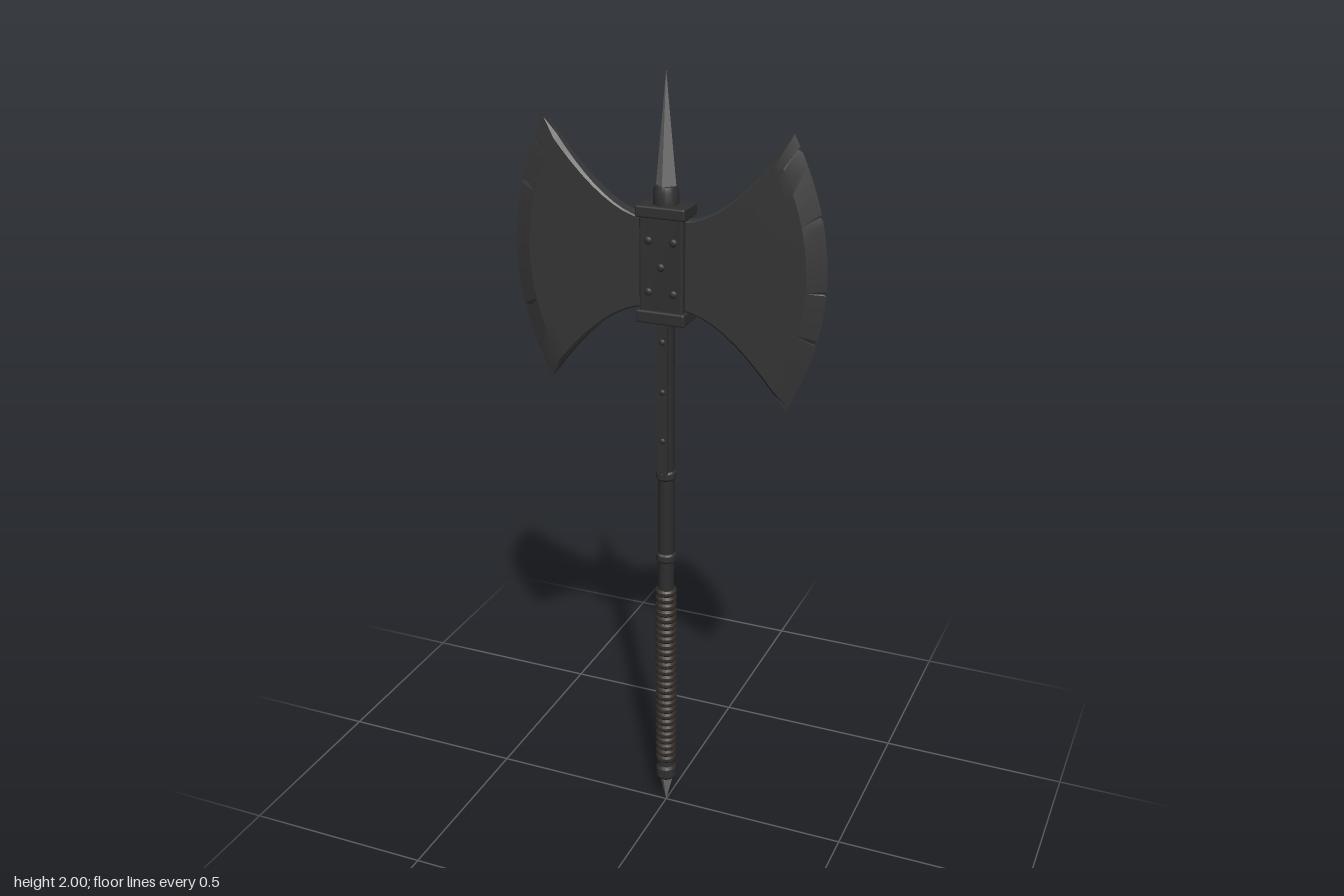
import * as THREE from 'three';
import { toCreasedNormals } from 'three/addons/utils/BufferGeometryUtils.js';
import { RoundedBoxGeometry } from 'three/addons/geometries/RoundedBoxGeometry.js';

const mat = (name, color) => {
  const m = new THREE.MeshStandardMaterial({ color });
  m.name = name;
  return m;
};

// One double-curved blade growing toward +x; nicks are [v, depth] along the edge
function bladeGeometry(nicks) {
  const T = 0.018, midY = 1.547;
  const us = [0, 0.1, 0.2, 0.3, 0.4, 0.5, 0.6, 0.7, 0.8, 0.87, 1];
  const rows = [0.97, -0.97];
  for (let i = -10; i <= 10; i++) rows.push(i / 10);
  for (const [v] of nicks) rows.push(v - 0.02, v, v + 0.02);
  const vs = [...new Set(rows.map((v) => +v.toFixed(3)))].sort((a, b) => a - b);

  const point = (u, v, side) => {
    const nick = u === 1 ? nicks.find((n) => Math.abs(n[0] - v) < 0.002) : null;
    const x = 0.05 + u * (0.35 - 0.09 * v * v) - (nick ? nick[1] : 0);
    const y = midY + v * (0.11 + 0.223 * Math.pow(u, 1.7));
    let z = u === 1 ? 0 : T;
    if (Math.abs(v) === 1) z *= Math.sqrt(1 - u * u) * 0.85;
    return [x, y, z * side];
  };
  const pos = [];
  const quad = (a, b, c, d) => pos.push(...a, ...b, ...c, ...a, ...c, ...d);
  for (let i = 0; i < us.length - 1; i++) {
    const a = us[i], b = us[i + 1];
    for (let j = 0; j < vs.length - 1; j++) {
      const p = vs[j], q = vs[j + 1];
      quad(point(a, p, 1), point(b, p, 1), point(b, q, 1), point(a, q, 1));
      quad(point(a, q, -1), point(b, q, -1), point(b, p, -1), point(a, p, -1));
    }
    // Upper and lower rims
    quad(point(a, 1, 1), point(b, 1, 1), point(b, 1, -1), point(a, 1, -1));
    quad(point(a, -1, -1), point(b, -1, -1), point(b, -1, 1), point(a, -1, 1));
  }
  const g = new THREE.BufferGeometry();
  g.setAttribute('position', new THREE.Float32BufferAttribute(pos, 3));
  return toCreasedNormals(g, 0.35);
}

export function createModel() {
  const axe = new THREE.Group();
  axe.name = 'doubleAxe';
  const blade = mat('bladeIron', 0x363636);
  const iron = mat('darkIron', 0x303030);
  const wood = mat('darkShaft', 0x2d2d2e);
  const leather = mat('gripLeather', 0x332d28);
  const steel = mat('spikeSteel', 0x707070);

  const add = (name, geo, material, x = 0, y = 0, z = 0) => {
    const m = new THREE.Mesh(geo, material);
    m.name = name;
    m.position.set(x, y, z);
    axe.add(m);
    return m;
  };
  // Turned part from [radius, height] pairs
  const turned = (name, profile, material, sides = 20) => add(name,
    toCreasedNormals(new THREE.LatheGeometry(profile.map(([r, y]) => new THREE.Vector2(r, y)), sides), 0.5), material);
  const ring = (name, y0, y1, r, material) => turned(name,
    [[0, y0], [r - 0.004, y0], [r, y0 + 0.005], [r, y1 - 0.005], [r - 0.004, y1], [0, y1]], material);

  // Blades
  add('leftBlade', bladeGeometry([[-0.09, 0.008], [-0.46, 0.012], [0.45, 0.005], [0.9, 0.008]]), blade);
  add('rightBlade', bladeGeometry([[0.5, 0.012], [-0.46, 0.014], [0.82, 0.006]]), blade).rotation.y = Math.PI;

  // Head block with flanged ends
  add('headBlock', new RoundedBoxGeometry(0.112, 0.27, 0.07, 2, 0.006), iron, 0, 1.548, 0);
  add('upperFlange', new RoundedBoxGeometry(0.126, 0.029, 0.084, 2, 0.005), iron, 0, 1.677, 0);
  add('lowerFlange', new RoundedBoxGeometry(0.126, 0.032, 0.084, 2, 0.005), iron, 0, 1.42, 0);

  // Rivets and shaft straps on both faces
  const rivet = new THREE.SphereGeometry(0.01, 10, 8);
  rivet.scale(1, 1, 0.6);
  const smallRivet = new THREE.SphereGeometry(0.008, 10, 8);
  smallRivet.scale(1, 1, 0.7);
  for (const s of [1, -1]) {
    for (const [x, y] of [[-0.032, 1.608], [0.032, 1.608], [0, 1.545], [-0.032, 1.482], [0.032, 1.482]]) {
      add('headRivet', rivet, iron, x, y, s * 0.035);
    }
    add('shaftStrap', new THREE.BoxGeometry(0.026, 0.41, 0.01), iron, 0, 1.205, s * 0.02);
    for (const y of [1.355, 1.225, 1.095]) add('strapRivet', smallRivet, iron, 0, y, s * 0.025);
  }

  // Shaft and bands
  add('shaft', new THREE.CylinderGeometry(0.021, 0.021, 1.32, 16), wood, 0, 0.76, 0);
  ring('upperBand', 0.983, 1.008, 0.026, iron);
  ring('middleBand', 0.75, 0.775, 0.026, iron);

  // Wrapped grip
  const wrap = [[0.02, 0.135]];
  const turns = 27, pitch = 0.535 / turns;
  for (let i = 0; i < turns; i++) {
    const y = 0.135 + i * pitch;
    wrap.push([0.024, y + 0.001], [0.028, y + pitch * 0.3], [0.028, y + pitch * 0.7]);
  }
  wrap.push([0.024, 0.669], [0.02, 0.67]);
  turned('wrappedGrip', wrap, leather, 18);

  // Pommel and its point
  turned('pommel', [[0, 0.078], [0.021, 0.078], [0.027, 0.086], [0.027, 0.112], [0.022, 0.12], [0.022, 0.137], [0, 0.137]], iron);
  const bottom = toCreasedNormals(new THREE.ConeGeometry(0.02, 0.08, 4), 0.3);
  add('pommelSpike', bottom, steel, 0, 0.04, 0).rotation.x = Math.PI;

  // Top collar and four-sided spike
  turned('spikeCollar', [[0, 1.69], [0.031, 1.69], [0.031, 1.722], [0.026, 1.735], [0, 1.735]], iron);
  add('topSpike', toCreasedNormals(new THREE.ConeGeometry(0.026, 0.267, 4), 0.3), steel, 0, 1.8665, 0);

  return axe;
}
